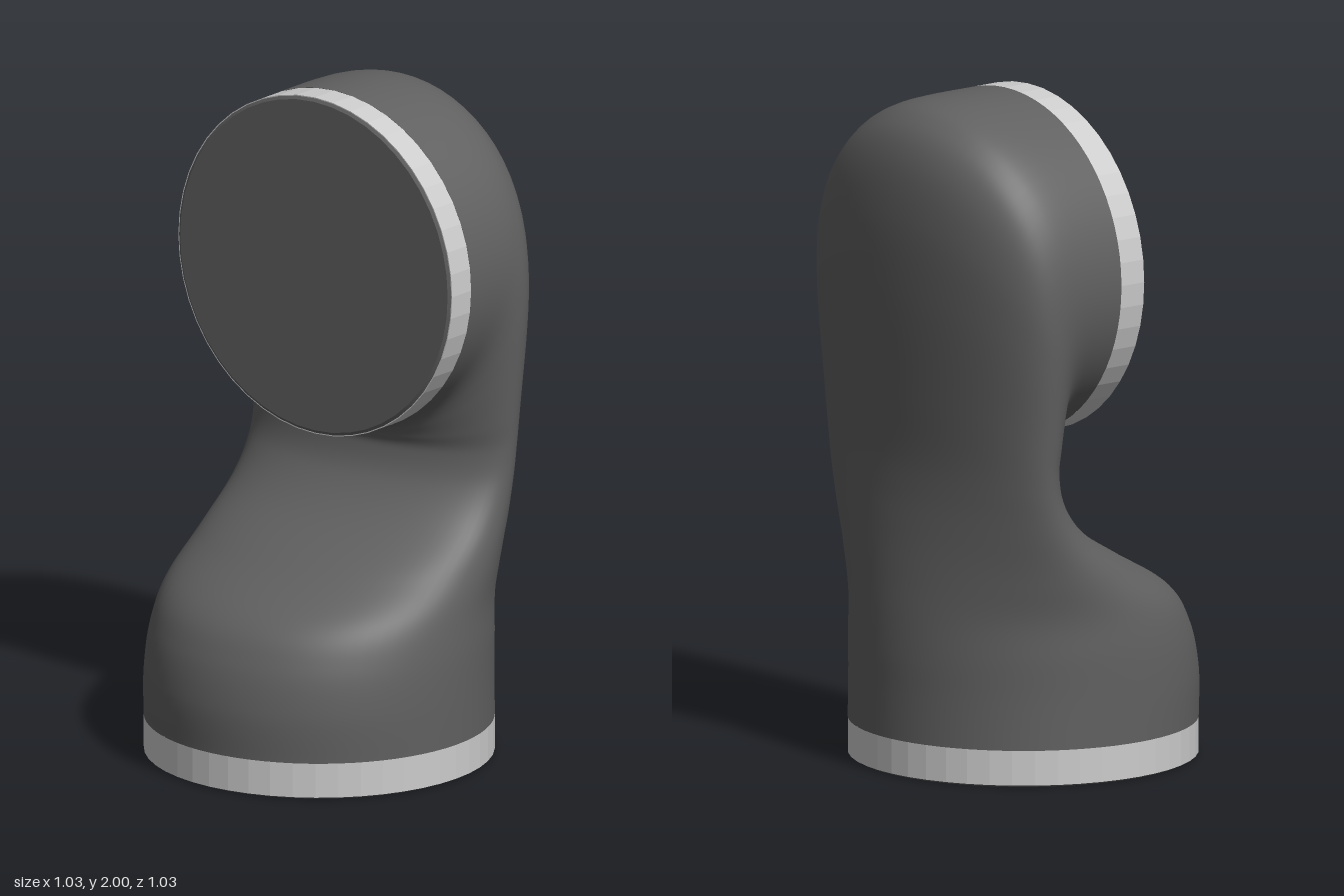
import * as THREE from 'three';

const R = 0.515;
const SIDES = 72, STEPS = 110;

// Stations along the elbow: inner x, inner y, outer x, outer y, half width in z
const STATIONS = [
  [-0.515, 0.11, 0.515, 0.11, 0.515],
  [-0.515, 0.25, 0.512, 0.25, 0.515],
  [-0.48, 0.39, 0.51, 0.36, 0.512],
  [-0.4, 0.5, 0.503, 0.48, 0.502],
  [-0.2, 0.61, 0.492, 0.6, 0.492],
  [0, 0.72, 0.48, 0.73, 0.48],
  [0.11, 0.82, 0.472, 0.85, 0.475],
  [0.148, 0.91, 0.472, 0.97, 0.478],
  [0.14, 0.95, 0.485, 1.15, 0.488],
  [0.125, 0.967, 0.508, 1.45, 0.503],
  [0.115, 0.97, 0.513, 1.68, 0.512],
  [0.105, 0.97, 0.49, 1.85, 0.515],
  [0.095, 0.97, 0.43, 1.95, 0.515],
  [0.085, 0.97, 0.32, 1.995, 0.515],
  [0.07, 0.97, 0.07, 2.0, 0.515],
];

// Smooth interpolation of all station values at once
function sample(u) {
  const last = STATIONS.length - 1;
  const i = Math.min(Math.floor(u * last), last - 1);
  const t = u * last - i;
  const at = (k) => STATIONS[Math.max(0, Math.min(last, k))];
  const [p0, p1, p2, p3] = [at(i - 1), at(i), at(i + 1), at(i + 2)];
  return p1.map((b, k) => {
    const m1 = (p2[k] - p0[k]) / 2, m2 = (p3[k] - b) / 2;
    const t2 = t * t, t3 = t2 * t;
    return (2 * t3 - 3 * t2 + 1) * b + (t3 - 2 * t2 + t) * m1
      + (3 * t2 - 2 * t3) * p2[k] + (t3 - t2) * m2;
  });
}

// Elliptical sections that tilt from the base plane to the head plane
function elbowGeometry() {
  const pos = [], index = [];
  for (let s = 0; s <= STEPS; s++) {
    const [ix, iy, ox, oy, w] = sample(s / STEPS);
    for (let k = 0; k < SIDES; k++) {
      const a = (k / SIDES) * Math.PI * 2, c = Math.cos(a);
      pos.push(
        (ix + ox) / 2 + (c * (ox - ix)) / 2,
        (iy + oy) / 2 + (c * (oy - iy)) / 2,
        Math.sin(a) * w,
      );
      if (s === STEPS) continue;
      const p = s * SIDES + k, q = s * SIDES + ((k + 1) % SIDES);
      index.push(p, p + SIDES, q, q, p + SIDES, q + SIDES);
    }
  }
  const g = new THREE.BufferGeometry();
  g.setAttribute('position', new THREE.Float32BufferAttribute(pos, 3));
  g.setIndex(index);
  g.computeVertexNormals();
  return g;
}

export function createModel() {
  const dark = new THREE.MeshStandardMaterial({ color: 0x606060, side: THREE.DoubleSide });
  const grey = new THREE.MeshStandardMaterial({ color: 0xcccccc, flatShading: true });
  const model = new THREE.Group();
  model.name = 'elbowJoint';

  const body = new THREE.Mesh(elbowGeometry(), dark);
  body.name = 'elbowBody';
  model.add(body);

  // Flange: pale ring with a thin dark plate on its outer face, built along +y
  function flange(name, height) {
    const group = new THREE.Group();
    group.name = name;
    const plate = 0.006;
    const ring = new THREE.Mesh(new THREE.CylinderGeometry(R, R, height - plate, 48), grey);
    ring.name = name + 'Ring';
    ring.position.y = (height + plate) / 2;
    const cap = new THREE.Mesh(new THREE.CylinderGeometry(R - 0.003, R - 0.012, plate, 48), dark);
    cap.name = name + 'Plate';
    cap.position.y = plate / 2;
    group.add(ring, cap);
    model.add(group);
    return group;
  }

  flange('baseFlange', 0.11);
  const head = flange('headFlange', 0.095);
  head.rotation.z = -Math.PI / 2;
  head.position.set(-0.025, 1.485, 0);

  return model;
}
